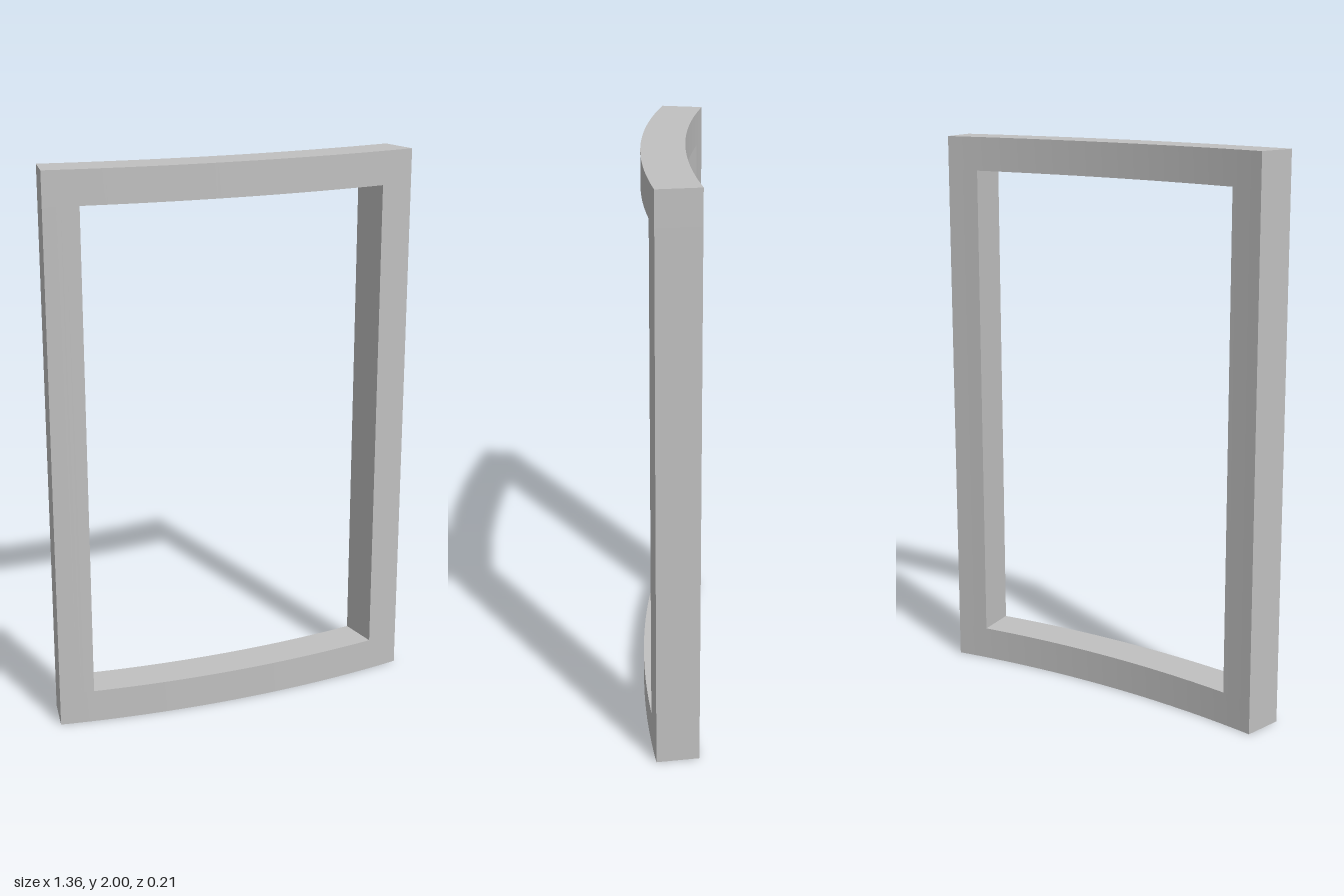
import * as THREE from 'three';
import { toCreasedNormals } from 'three/addons/utils/BufferGeometryUtils.js';

const OUTER_R = 3.83, INNER_R = 3.68, CENTRE_Z = -3.727;
const HALF = THREE.MathUtils.degToRad(10.2);      // half sweep of the whole frame
const OPENING = THREE.MathUtils.degToRad(8.35);   // half sweep of the opening
const HEIGHT = 2, RAIL = 0.12;

// Curved bar between two angles, standing from y0 up to y1
function curvedBar(a0, a1, y0, y1, segments) {
  const q = -Math.PI / 2;
  const shape = new THREE.Shape();
  shape.absarc(0, -CENTRE_Z, OUTER_R, q + a0, q + a1, false);
  shape.absarc(0, -CENTRE_Z, INNER_R, q + a1, q + a0, true);
  shape.closePath();
  const geo = new THREE.ExtrudeGeometry(shape, { depth: y1 - y0, bevelEnabled: false, curveSegments: segments });
  geo.rotateX(-Math.PI / 2);
  geo.translate(0, y0, 0);
  return toCreasedNormals(geo, 0.5);
}

export function createModel() {
  const group = new THREE.Group();
  group.name = 'curvedWindowFrame';
  const grey = new THREE.MeshStandardMaterial({ color: 0xc0c0c0 });
  grey.name = 'light grey';

  const add = (name, geo) => {
    const mesh = new THREE.Mesh(geo, grey);
    mesh.name = name;
    group.add(mesh);
  };

  // Full-width rails
  add('bottomRail', curvedBar(-HALF, HALF, 0, RAIL, 32));
  add('topRail', curvedBar(-HALF, HALF, HEIGHT - RAIL, HEIGHT, 32));

  // Side posts between the rails
  add('leftPost', curvedBar(OPENING, HALF, RAIL, HEIGHT - RAIL, 4));
  add('rightPost', curvedBar(-HALF, -OPENING, RAIL, HEIGHT - RAIL, 4));

  return group;
}
